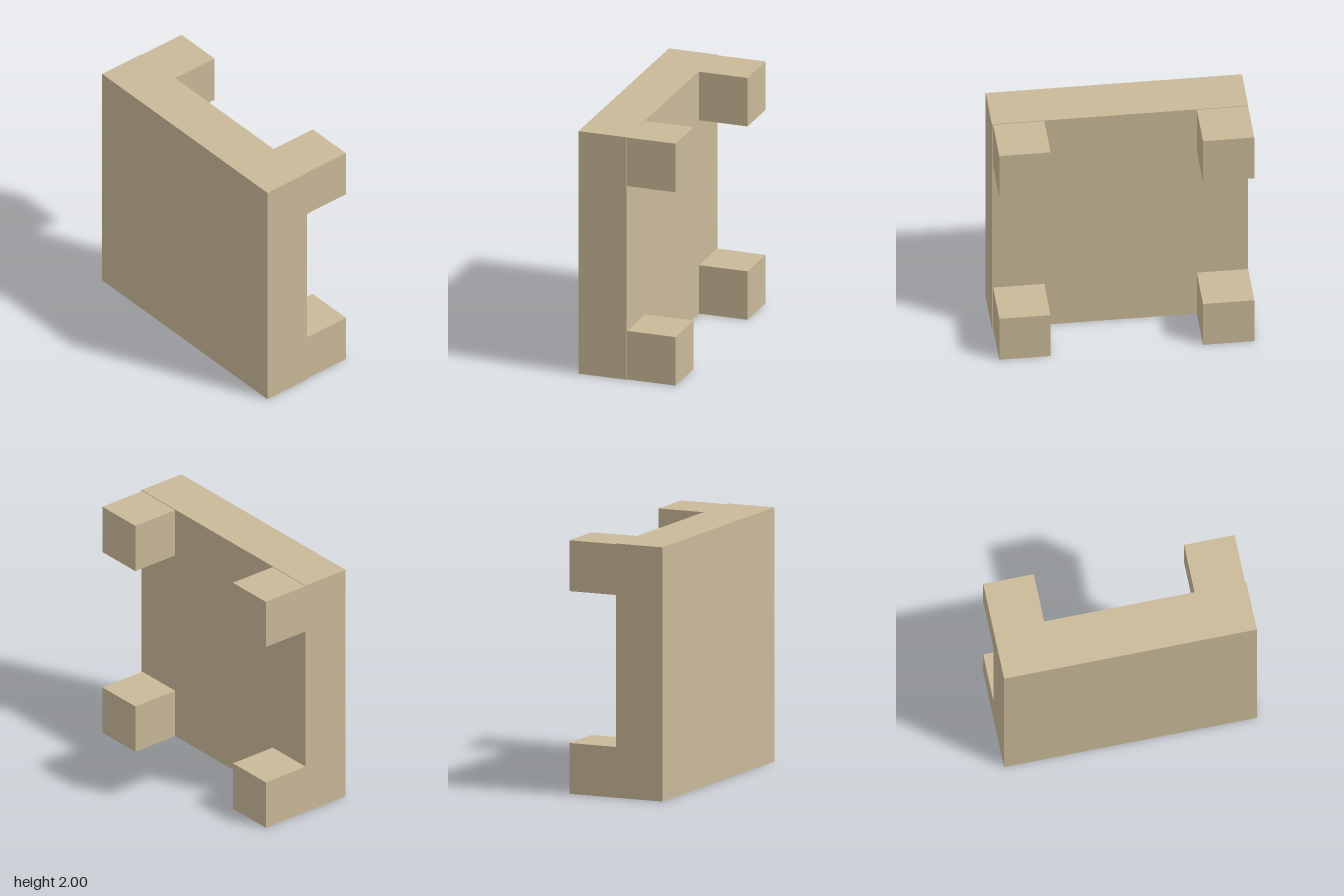
import * as THREE from 'three';

export function createModel() {
  const model = new THREE.Group();
  model.name = 'slabWithLegs';
  const tan = new THREE.MeshStandardMaterial({ color: 0xc9b998 });
  tan.name = 'tan';

  const addBox = (name, size, position) => {
    const mesh = new THREE.Mesh(new THREE.BoxGeometry(...size), tan);
    mesh.name = name;
    mesh.position.set(...position);
    model.add(mesh);
  };

  // Square slab standing upright
  addBox('slab', [2, 2, 0.4], [0, 1, 0.2]);

  // Four cube legs on the back; the left pair and upper pair sit slightly inset
  for (const [side, x] of [['Right', -0.8], ['Left', 0.79]]) {
    for (const [level, y] of [['lower', 0.2], ['upper', 1.795]]) {
      addBox(`${level}${side}Leg`, [0.4, 0.4, 0.4], [x, y, -0.2]);
    }
  }
  return model;
}
